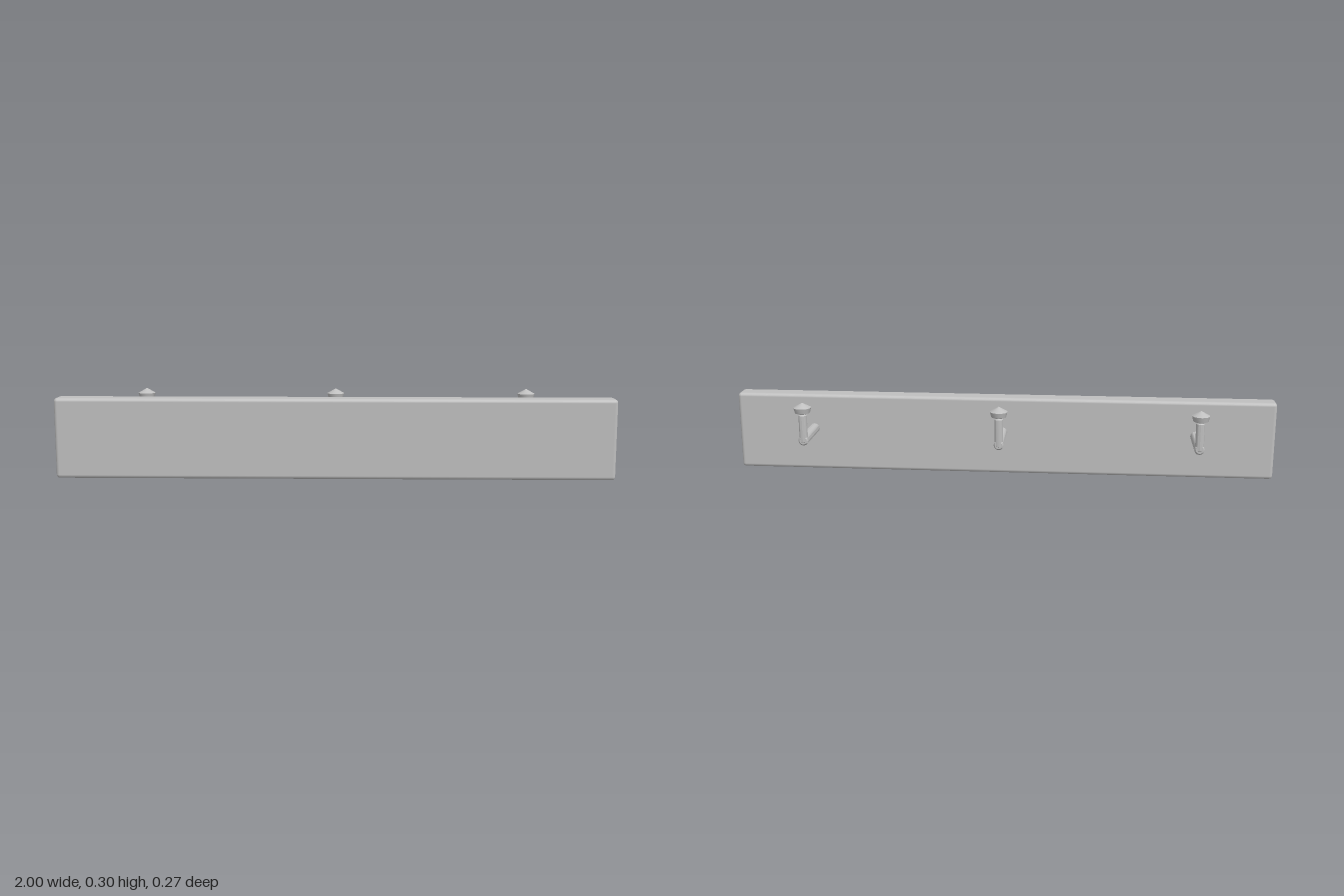
import * as THREE from 'three';
import { RoundedBoxGeometry } from 'three/addons/geometries/RoundedBoxGeometry.js';
import { toCreasedNormals } from 'three/addons/utils/BufferGeometryUtils.js';

// Turned solid with crisp edges; profile is [radius, height] from bottom to top
function turned(profile, sides) {
  const points = profile.map(([r, y]) => new THREE.Vector2(r, y));
  return toCreasedNormals(new THREE.LatheGeometry(points, sides), 0.6);
}

// Rod with softened ends
function rod(radius, length) {
  const c = 0.005;
  return turned([[0, 0], [radius - c, 0], [radius, c],
    [radius, length - c], [radius - c, length], [0, length]], 12);
}

export function createModel() {
  const model = new THREE.Group();
  model.name = 'pegRail';
  const grey = new THREE.MeshStandardMaterial({ color: 0xbfbfbf });
  grey.name = 'grey';

  const add = (parent, name, geometry, x, y, z) => {
    const mesh = new THREE.Mesh(geometry, grey);
    mesh.name = name;
    mesh.position.set(x, y, z);
    parent.add(mesh);
    return mesh;
  };

  // Long board with softened edges
  add(model, 'board', new RoundedBoxGeometry(2, 0.29, 0.075, 2, 0.013), 0, 0.145, 0.0975);

  // Shared peg shapes
  const armShape = rod(0.0185, 0.184);
  const postShape = rod(0.0155, 0.107);
  const knobShape = turned([[0, 0.257], [0.014, 0.258], [0.027, 0.263],
    [0.032, 0.282], [0, 0.3]], 14);

  // Three pegs behind the board
  for (const x of [-0.71, 0, 0.71]) {
    const peg = new THREE.Group();
    peg.name = 'peg';
    peg.position.x = x;
    add(peg, 'arm', armShape, 0, 0.16, 0.068).rotation.x = -Math.PI / 2;
    add(peg, 'post', postShape, 0, 0.151, -0.103);
    add(peg, 'knob', knobShape, 0, 0, -0.103);
    model.add(peg);
  }
  return model;
}
